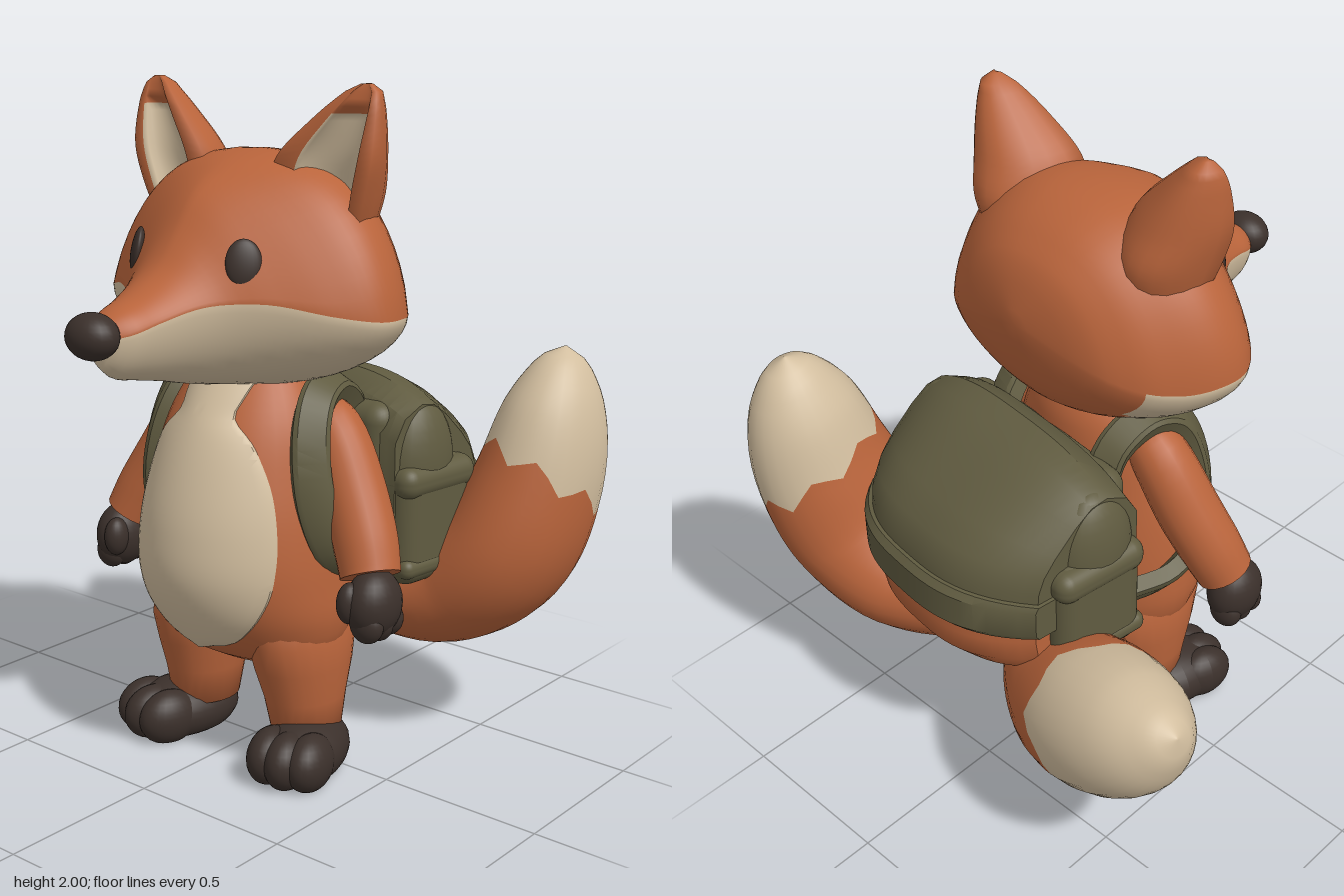
import * as THREE from 'three';
import { toCreasedNormals } from 'three/addons/utils/BufferGeometryUtils.js';
import { RoundedBoxGeometry } from 'three/addons/geometries/RoundedBoxGeometry.js';

const material = (name, color) => Object.assign(new THREE.MeshStandardMaterial({ color }), { name });
const V = (x, y, z) => new THREE.Vector3(x, y, z);
const range = (n, f) => Array.from({ length: n }, (_, i) => f(i));

// Smooth interpolation of table rows [key, ...values]
function track(rows) {
  const c = new THREE.CubicInterpolant(rows.map(r => r[0]), rows.flatMap(r => r.slice(1)), rows[0].length - 1);
  return t => Array.from(c.evaluate(t));
}

// Closed skin over rings of points; pick(i, j) gives the material index; always wound outward
function loft(rings, pick = () => 0, crease = 0) {
  const n = rings[0].length, m = rings.length, pts = rings.flat(), tris = [[], []];
  const centre = r => r.reduce((s, p) => s.add(p), V(0, 0, 0)).divideScalar(n);
  pts.push(centre(rings[0]), centre(rings[m - 1]));
  for (let j = 0; j < n; j++) {
    const k = (j + 1) % n, e = (m - 1) * n;
    for (let i = 0; i < m - 1; i++) {
      const a = i * n + j, b = i * n + k;
      tris[pick(i, j)].push([a, b, b + n], [a, b + n, a + n]);
    }
    tris[pick(0, j)].push([m * n, k, j]);
    tris[pick(m - 2, j)].push([m * n + 1, e + j, e + k]);
  }
  let volume = 0;
  tris.flat().forEach(([a, b, c]) => { volume += pts[a].dot(V(0, 0, 0).crossVectors(pts[b], pts[c])); });
  const idx = tris.map(l => l.flatMap(([a, b, c]) => (volume < 0 ? [a, c, b] : [a, b, c])));
  const g = new THREE.BufferGeometry().setFromPoints(pts);
  g.setIndex(idx.flat());
  g.addGroup(0, idx[0].length, 0);
  if (idx[1].length) g.addGroup(idx[0].length, idx[1].length, 1);
  if (crease) return toCreasedNormals(g, crease);
  g.computeVertexNormals();
  return g;
}

// Rings round a curve with tapering radii; shift(i, j) slides points along it
function tubeRings(points, radii, count, sides, ratio = 1, shift = () => 0) {
  const curve = new THREE.CatmullRomCurve3(points.map(p => V(...p)));
  const radius = track(radii);
  return range(count + 1, i => range(sides, j => {
    const t = THREE.MathUtils.clamp(i / count + shift(i, j), 0, 1), a = j / sides * Math.PI * 2;
    const T = curve.getTangent(t), B = V(0, 0, 1).cross(T).normalize(), N = T.clone().cross(B);
    const r = Math.max(radius(t)[0], 0.004);
    return curve.getPoint(t).addScaledVector(B, r * ratio * Math.cos(a)).addScaledVector(N, r * Math.sin(a));
  }));
}

export function createModel() {
  const orange = material('orange fur', 0xb9643b), cream = material('cream fur', 0xd2be9f);
  const dark = material('dark brown', 0x3b302b), green = material('olive canvas', 0x605b40);
  const model = new THREE.Group(), figure = new THREE.Group();
  model.name = 'foxWithBackpack';
  figure.name = 'figure';
  figure.position.x = 0.025;
  model.add(figure);
  const add = (parent, name, geo, mat) => {
    const mesh = new THREE.Mesh(geo, mat);
    mesh.name = name;
    parent.add(mesh);
    return mesh;
  };
  const ball = (parent, name, mat, p, s) => {
    const b = add(parent, name, new THREE.SphereGeometry(1, 24, 16), mat);
    b.position.set(...p);
    b.scale.set(...s);
    return b;
  };

  // Head: z, half width, top, cheek line, bottom, roundness
  const headAt = track([
    [-0.305, 0.05, 1.54, 1.49, 1.44, 2], [-0.28, 0.2, 1.63, 1.45, 1.33, 2.1], [-0.22, 0.33, 1.715, 1.4, 1.225, 2.2],
    [-0.12, 0.43, 1.785, 1.37, 1.16, 2.25], [0, 0.495, 1.81, 1.375, 1.14, 2.3], [0.1, 0.49, 1.8, 1.38, 1.145, 2.15],
    [0.2, 0.41, 1.765, 1.4, 1.16, 1.75], [0.3, 0.28, 1.695, 1.43, 1.175, 1.5], [0.37, 0.19, 1.6, 1.43, 1.19, 1.55],
    [0.43, 0.145, 1.525, 1.422, 1.205, 1.7], [0.53, 0.105, 1.46, 1.395, 1.225, 1.9], [0.62, 0.078, 1.425, 1.37, 1.247, 2],
    [0.66, 0.045, 1.4, 1.36, 1.28, 2]]);
  const headZ = range(50, i => -0.305 + 0.965 * i / 49);
  const headRings = headZ.map(z => {
    const [w, top, mid, bot, p] = headAt(z);
    return range(48, j => {
      const a = j / 48 * Math.PI * 2, c = Math.cos(a), s = Math.sin(a), q = s > 0 ? p : 1.75;
      const x = w * Math.sign(c) * Math.abs(c) ** (2 / q) * (s > 0 ? 1 - 0.08 * Math.abs(Math.sin(2 * a)) : 1);
      return V(x, mid + (s > 0 ? top - mid : bot - mid) * Math.abs(s) ** (2 / q), z);
    });
  });
  const creamStart = j => -0.2 + 0.15 * Math.sin(j / 24 * Math.PI) ** 4;
  const head = add(figure, 'head', loft(headRings, (i, j) => (j >= 24 && headZ[i] > creamStart(j) ? 1 : 0)), [orange, cream]);
  ball(figure, 'nose', dark, [0, 1.368, 0.685], [0.08, 0.064, 0.066]);

  // Torso: y, half width, front, back
  const bodyAt = track([
    [0.32, 0.2, 0.16, -0.08], [0.36, 0.28, 0.23, -0.14], [0.45, 0.33, 0.305, -0.18], [0.6, 0.335, 0.37, -0.19],
    [0.75, 0.32, 0.37, -0.18], [0.9, 0.29, 0.335, -0.165], [1.05, 0.25, 0.275, -0.16],
    [1.14, 0.205, 0.22, -0.15], [1.22, 0.15, 0.16, -0.11]]);
  add(figure, 'torso', loft(range(31, i => {
    const y = 0.32 + 0.03 * i, [w, f, b] = bodyAt(y);
    return range(40, j => {
      const a = j / 40 * Math.PI * 2, s = Math.sin(a);
      return V(w * Math.cos(a), y, 0.05 + s * (s > 0 ? f - 0.05 : 0.05 - b));
    });
  })), orange);

  // Belly patch following the torso
  const bellyAt = track([[0.385, 0.02], [0.41, 0.1], [0.47, 0.18], [0.56, 0.24], [0.66, 0.26], [0.8, 0.25],
    [0.92, 0.215], [1.02, 0.16], [1.08, 0.1], [1.13, 0.105], [1.2, 0.12]]);
  add(figure, 'belly', loft(range(41, i => {
    const y = 0.385 + 0.815 * i / 40, [lim] = bellyAt(y), [w, f] = bodyAt(y);
    const point = (u, d) => V(u * lim, y, 0.05 + (f - 0.05) * Math.sqrt(Math.max(0, 1 - (u * lim / w) ** 2)) + d);
    return [...range(21, j => point(j / 10 - 1, 0.008 + 0.022 * (1 - (j / 10 - 1) ** 2))),
      ...range(21, j => point(1 - j / 10, -0.03))];
  }), undefined, 0.7), cream);

  for (const s of [1, -1]) {
    const side = s > 0 ? 'left' : 'right';

    // Ears: y, centre x, rim z, half width, depth; the cup turns slightly outward
    const earAt = track([[1.58, 0.25, 0.06, 0.12, 0.18], [1.7, 0.262, 0.085, 0.148, 0.23], [1.8, 0.287, 0.09, 0.148, 0.2],
      [1.9, 0.335, 0.07, 0.1, 0.14], [1.96, 0.365, 0.05, 0.062, 0.09], [1.99, 0.378, 0.035, 0.035, 0.055],
      [2, 0.381, 0.028, 0.014, 0.025]]);
    const earRings = range(22, i => {
      const y = 1.58 + 0.02 * i, [x, z, w, d] = earAt(y);
      const arc = (k, depth, dir, inset) => range(13, j => {
        const a = j / 12 * Math.PI, c = dir * k * w * Math.cos(a);
        return V(s * (x + inset * w + c), y, z - 0.12 * c - depth * d * Math.sin(a));
      });
      return [...arc(1, 1, 1, 0), ...arc(0.62, i > 17 ? 0.1 : 0.36, -1, 0.1)];
    });
    add(figure, side + 'Ear', loft(earRings, (i, j) => (j >= 13 && j < 25 && i > 3 && i < 17 ? 1 : 0)), [orange, cream]);

    // Eyes laid on the face
    head.updateMatrixWorld(true);
    const ray = new THREE.Raycaster(V(s * 0.198, 1.535, 2).applyMatrix4(head.matrixWorld), V(0, 0, -1));
    const hit = ray.intersectObject(head)[0];
    const eye = ball(figure, side + 'Eye', dark, [s * 0.198, 1.535, hit ? hit.point.z : 0.31], [0.05, 0.066, 0.018]);
    eye.rotation.set(-0.2, s * 0.78, 0, 'YXZ');

    // Legs and feet
    add(figure, side + 'Leg', loft([[0.62, 0.17, 0.07, 0.18, -0.08], [0.5, 0.18, 0.118, 0.24, -0.14],
      [0.41, 0.188, 0.134, 0.24, -0.152], [0.32, 0.192, 0.13, 0.21, -0.13], [0.22, 0.198, 0.113, 0.175, -0.1],
      [0.11, 0.202, 0.098, 0.15, -0.08]].map(([y, x, w, f, b]) => range(24, j => {
      const a = j / 24 * Math.PI * 2;
      return V(s * x + w * Math.cos(a), y, (f + b) / 2 + (f - b) / 2 * Math.sin(a));
    }))), orange);
    const foot = new THREE.Group();
    foot.name = side + 'Foot';
    foot.position.set(s * 0.243, 0, 0.1);
    foot.rotation.y = s * 0.25;
    figure.add(foot);
    const pad = (name, p, r) => {
      const g = new THREE.SphereGeometry(1, 24, 16).scale(...r).translate(...p), q = g.attributes.position;
      for (let i = 0; i < q.count; i++) q.setY(i, Math.max(0.005, q.getY(i)));
      g.computeVertexNormals();
      add(foot, name, g, dark);
    };
    pad('sole', [0, 0.07, 0], [0.125, 0.098, 0.195]);
    for (const k of [-1, 0, 1]) pad('toe', [k * 0.062, 0.075, 0.105 - Math.abs(k) * 0.015], [0.066, 0.085, 0.1]);

    // Arms and hands
    add(figure, side + 'Arm', loft(tubeRings([[s * 0.17, 1.1, 0], [s * 0.26, 1.03, 0], [s * 0.36, 0.86, 0.025],
      [s * 0.425, 0.74, 0.055], [s * 0.463, 0.655, 0.08]],
    [[0, 0.04], [0.15, 0.075], [0.35, 0.092], [0.7, 0.094], [1, 0.087]], 20, 20), undefined, 0.8), orange);
    ball(figure, side + 'Palm', dark, [s * 0.49, 0.585, 0.1], [0.074, 0.1, 0.095]);
    ball(figure, side + 'Thumb', dark, [s * 0.455, 0.595, 0.165], [0.035, 0.06, 0.042]);
    for (const k of [0, 1, 2]) {
      ball(figure, side + 'Finger', dark, [s * 0.5, 0.535 - (k === 1 ? 0.005 : 0), 0.05 + 0.047 * k], [0.052, 0.053, 0.038]);
    }

    // Shoulder straps, widening toward the bottom
    const path = new THREE.CatmullRomCurve3([[0.2, 0.95, -0.2], [0.215, 1.1, -0.14], [0.238, 1.16, -0.03], [0.262, 1.13, 0.07],
      [0.285, 1.03, 0.13], [0.318, 0.85, 0.145], [0.345, 0.7, 0.08], [0.355, 0.645, -0.05], [0.31, 0.64, -0.2]]
      .map(([x, y, z]) => V(s * x, y, z)));
    add(figure, side + 'Strap', loft(range(41, i => {
      const p = path.getPoint(i / 40), T = path.getTangent(i / 40);
      const N = p.clone().sub(V(s * 0.1, 0.85, -0.03));
      N.addScaledVector(T, -N.dot(T)).normalize();
      const B = T.clone().cross(N), half = 0.05 + 0.027 * (i / 40) ** 3;
      return [[-1, -1.4], [1, -1.4], [1, 0.6], [0.75, 1], [-0.75, 1], [-1, 0.6]]
        .map(([u, v]) => p.clone().addScaledVector(B, u * half).addScaledVector(N, v * 0.023));
    }), undefined, 0.6), green);
  }

  // Two bushy tails with ragged, slanting cream tips
  const tail = (name, points, radii, ratio, edge, leanB, leanN) => {
    const shift = (i, j) => {
      const a = j / 28 * Math.PI * 2;
      const slide = [0, 1, 0.2, -1][j % 4] * 0.02 + leanB * Math.cos(a) + leanN * Math.sin(a);
      return slide * Math.max(0, 1 - Math.abs(i - edge) / 7);
    };
    add(model, name, loft(tubeRings(points, radii, 40, 28, ratio, shift), i => (i >= edge ? 1 : 0)), [orange, cream]);
  };
  tail('tallTail', [[0.03, 0.47, -0.15], [0.2, 0.46, -0.33], [0.42, 0.48, -0.42], [0.58, 0.61, -0.47], [0.65, 0.82, -0.53],
    [0.675, 1.04, -0.57], [0.685, 1.23, -0.6]],
  [[0, 0.12], [0.17, 0.17], [0.33, 0.215], [0.5, 0.238], [0.67, 0.222], [0.83, 0.178], [0.93, 0.115], [0.98, 0.058], [1, 0.004]],
  0.83, 28, 0.03, 0.03);
  tail('lowTail', [[0, 0.45, -0.15], [-0.18, 0.44, -0.34], [-0.35, 0.45, -0.45], [-0.52, 0.53, -0.51], [-0.68, 0.625, -0.55],
    [-0.82, 0.72, -0.575]],
  [[0, 0.12], [0.2, 0.18], [0.4, 0.208], [0.6, 0.21], [0.8, 0.165], [0.92, 0.1], [0.98, 0.045], [1, 0.004]],
  1.03, 24, 0.03, 0.08);

  // Backpack, turned slightly
  const pack = new THREE.Group();
  pack.name = 'backpack';
  pack.position.set(0.065, 0, -0.28);
  pack.rotation.y = -0.12;
  model.add(pack);
  // Profile [z, y] swept across x, shrinking toward both ends
  const sweep = (name, profile, half, mat) => add(pack, name, loft(range(25, i => {
    const u = i / 12 - 1, f = 1 - 0.42 * Math.abs(u) ** 2.8, h = 1 - 0.17 * Math.abs(u) ** 3;
    return profile.map(([z, y]) => V(u * half, 0.72 + (y - 0.72) * h, z * (z < 0 ? f : 1)));
  }), undefined, 0.6), mat);
  sweep('lid', [[0.13, 0.7], [0.13, 1.04], [0.09, 1.12], [0.02, 1.16], [-0.06, 1.15], [-0.16, 1.1], [-0.28, 1.02],
    [-0.35, 0.96], [-0.385, 0.9], [-0.395, 0.8], [-0.39, 0.72]], 0.385, green);
  sweep('lidBand', [[0.1, 0.72], [0.1, 0.86], [-0.4, 0.86], [-0.418, 0.84], [-0.418, 0.74], [-0.4, 0.72]], 0.395, green);
  sweep('lowerBag', [[0.12, 0.52], [0.12, 0.76], [-0.37, 0.76], [-0.39, 0.68], [-0.375, 0.6], [-0.32, 0.54], [-0.2, 0.51]], 0.37, orange);
  const box = (name, p, size, r) => add(pack, name, new RoundedBoxGeometry(...size, 4, r), green).position.set(...p);
  box('frontPanel', [0, 0.82, 0.07], [0.68, 0.54, 0.16], 0.06);
  for (const s of [-1, 1]) {
    box('sidePocket', [s * 0.37, 0.735, -0.025], [0.13, 0.37, 0.3], 0.06);
    box('pocketFlap', [s * 0.373, 0.865, -0.025], [0.14, 0.1, 0.31], 0.045);
    box('pocketHem', [s * 0.373, 0.61, -0.025], [0.135, 0.06, 0.306], 0.028);
    ball(pack, 'pocketTop', green, [s * 0.345, 0.9, -0.005], [0.09, 0.2, 0.13]);
  }
  return model;
}
